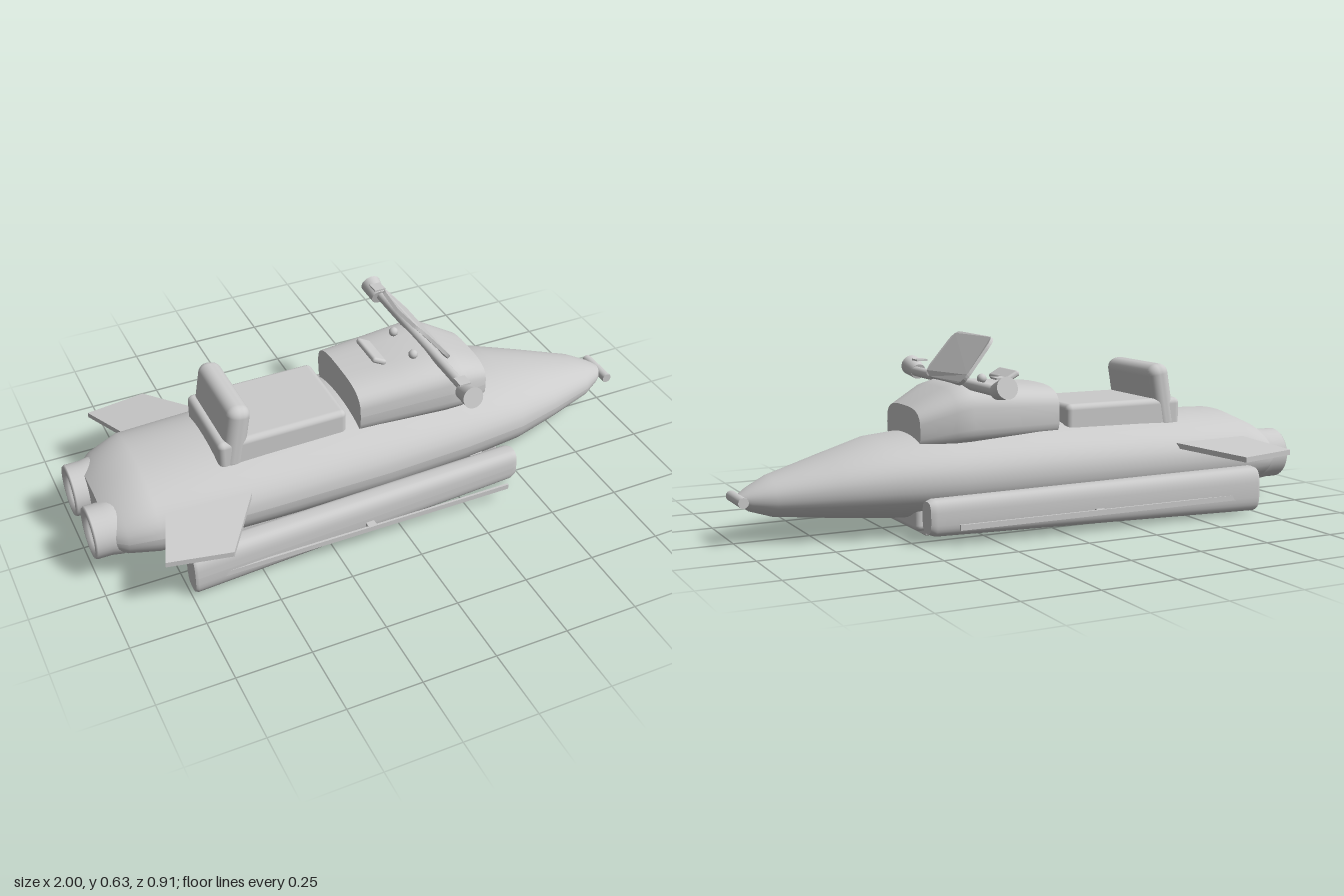
import * as THREE from 'three';
import { RoundedBoxGeometry } from 'three/addons/geometries/RoundedBoxGeometry.js';

const material = new THREE.MeshStandardMaterial({ color: 0xcccccc });
const thin = new THREE.MeshStandardMaterial({ color: 0xcccccc, side: THREE.DoubleSide });

// Skin of superellipse sections [x, yBottom, yTop, zCentre, halfWidth], closed at both ends.
function loft(sections, power = 2, seg = 40) {
  const pos = [], index = [];
  const ring = ([x, y0, y1, cz, rz]) => {
    const start = pos.length / 3;
    for (let j = 0; j <= seg; j++) {
      const a = (j / seg) * Math.PI * 2, c = Math.cos(a), s = Math.sin(a);
      const round = (v) => Math.sign(v) * Math.abs(v) ** (2 / power);
      pos.push(x, (y0 + y1) / 2 + ((y1 - y0) / 2) * round(s), cz + rz * round(c));
    }
    return start;
  };
  const starts = sections.map(ring);
  for (let i = 0; i + 1 < starts.length; i++) {
    for (let j = 0; j < seg; j++) {
      const a = starts[i] + j, b = starts[i + 1] + j;
      index.push(a, b, a + 1, b, b + 1, a + 1);
    }
  }
  [sections[0], sections.at(-1)].forEach((s, end) => {
    const r = ring(s), mid = pos.length / 3;
    pos.push(s[0], (s[1] + s[2]) / 2, s[3]);
    for (let j = 0; j < seg; j++) index.push(mid, r + j + end, r + j + 1 - end);
  });
  const geo = new THREE.BufferGeometry();
  geo.setAttribute('position', new THREE.Float32BufferAttribute(pos, 3));
  geo.setIndex(index);
  geo.computeVertexNormals();
  return geo;
}

export function createModel() {
  const model = new THREE.Group();
  const add = (name, geo, x = 0, y = 0, z = 0, mat = material) => {
    const mesh = new THREE.Mesh(geo, mat);
    mesh.name = name;
    mesh.position.set(x, y, z);
    model.add(mesh);
    return mesh;
  };
  const tubeAcross = (r0, r1, len) => new THREE.CylinderGeometry(r0, r1, len, 28).rotateX(Math.PI / 2);

  // Hull
  add('hull', loft([
    [-0.95, 0.075, 0.24, 0, 0.19], [-0.9, 0.055, 0.275, 0, 0.235], [-0.8, 0.03, 0.32, 0, 0.262],
    [-0.4, 0.025, 0.332, 0, 0.272], [0, 0.025, 0.338, 0, 0.276], [0.3, 0.03, 0.325, 0, 0.258],
    [0.53, 0.045, 0.305, 0, 0.232], [0.7, 0.06, 0.258, 0, 0.172], [0.88, 0.078, 0.208, 0, 0.1],
    [0.95, 0.1, 0.175, 0, 0.055], [0.98, 0.122, 0.155, 0, 0.03],
  ], 2.15, 48));
  add('noseBar', tubeAcross(0.017, 0.017, 0.14), 0.983, 0.14, 0);

  // Seat
  add('seatCushion', new RoundedBoxGeometry(0.45, 0.13, 0.315, 3, 0.02), -0.335, 0.325, 0);
  add('backrest', new RoundedBoxGeometry(0.08, 0.24, 0.32, 4, 0.035), -0.494, 0.39, 0).rotation.z = -0.17;

  // Cowl with its handle and screen bolts
  add('cowl', loft([
    [-0.07, 0.27, 0.455, 0, 0.175], [0.1, 0.265, 0.468, 0, 0.185], [0.25, 0.26, 0.48, 0, 0.194],
    [0.31, 0.26, 0.463, 0, 0.19], [0.42, 0.255, 0.405, 0, 0.142],
  ], 3.2));
  add('dashHandle', new RoundedBoxGeometry(0.055, 0.02, 0.14, 3, 0.009), 0.05, 0.485, 0).rotation.z = -0.5;
  add('handleStem', new THREE.CylinderGeometry(0.01, 0.01, 0.04, 12), 0.06, 0.467, 0);

  // Windscreen: rounded panel bowed about its upright axis, leaning back
  const w = 0.155, h = 0.095, r = 0.045, panel = new THREE.Shape();
  panel.moveTo(-w + r, -h).lineTo(w - r, -h).quadraticCurveTo(w, -h, w, -h + r)
    .lineTo(w - 0.006, h - r).quadraticCurveTo(w - 0.01, h, w - r, h)
    .lineTo(0, h + 0.004).lineTo(-w + r, h)
    .quadraticCurveTo(-w + 0.01, h, -w + 0.006, h - r).lineTo(-w, -h + r).quadraticCurveTo(-w, -h, -w + r, -h);
  const screen = new THREE.ExtrudeGeometry(panel, { depth: 0.012, bevelEnabled: false, curveSegments: 8 });
  screen.translate(0, 0, -0.006).rotateY(Math.PI / 2);
  const p = screen.attributes.position;
  for (let i = 0; i < p.count; i++) p.setX(i, p.getX(i) + 0.6 * p.getZ(i) ** 2);
  screen.computeVertexNormals();
  add('windscreen', screen, 0.207, 0.545, 0, thin).rotation.z = 0.68;

  // Handlebar
  add('handlebar', tubeAcross(0.017, 0.017, 0.66), 0.24, 0.475, 0);

  // Belly tray and lift panels
  add('bellyTray', new RoundedBoxGeometry(1.14, 0.09, 0.38, 3, 0.02), -0.11, 0.063, 0);
  for (const x of [-0.49, -0.105, 0.28]) {
    add('bellyPanel', new RoundedBoxGeometry(0.28, 0.022, 0.35, 2, 0.005), x, 0.011, 0);
  }

  // Fin outline in plan, x by distance from the centre line
  const fin = new THREE.Shape([[-0.84, 0.42], [-0.77, 0.22], [-0.47, 0.22], [-0.63, 0.457]]
    .map(([x, z]) => new THREE.Vector2(x, z)));

  for (const s of [1, -1]) {
    const side = s > 0 ? 'right' : 'left';

    add(side + 'Grip', tubeAcross(0.036, 0.027, 0.072), 0.23, 0.482, s * 0.35)
      .rotation.set(s * -0.25, s > 0 ? 0 : Math.PI, 0);
    add(side + 'Lever', new THREE.BoxGeometry(0.04, 0.006, 0.045), 0.225, 0.515, s * 0.317);
    add(side + 'ScreenBolt', new THREE.SphereGeometry(0.016, 16, 12), 0.17, 0.486, s * 0.075);

    // Outrigger pod, splayed towards the rear
    add(side + 'Pod', loft([
      [-0.74, 0.012, 0.158, s * 0.344, 0.042], [-0.73, 0.008, 0.163, s * 0.343, 0.047],
      [0.44, 0.024, 0.142, s * 0.282, 0.041], [0.46, 0.032, 0.135, s * 0.281, 0.034],
    ], 3, 32));
    add(side + 'PodRail', new THREE.BoxGeometry(1.06, 0.018, 0.008), -0.14, 0.065, s * 0.38);
    for (const x of [-0.6, -0.12, 0.34]) {
      const gap = 0.345 - 0.052 * (x + 0.74);
      add(side + 'PodStrut', new THREE.BoxGeometry(0.05, 0.04, gap - 0.15), x, 0.1, s * (gap + 0.15) / 2);
      if (x < 0.3) {
        add(side + 'RailBracket', new THREE.BoxGeometry(0.03, 0.014, 0.385 - gap), x, 0.065, s * (gap + 0.38) / 2);
      }
    }

    // Fin drooping towards its tip
    const plate = new THREE.ExtrudeGeometry(fin, { depth: 0.018, bevelEnabled: false });
    const v = plate.attributes.position;
    for (let i = 0; i < v.count; i++) {
      const z = v.getY(i);
      v.setXYZ(i, v.getX(i), 0.225 + v.getZ(i) - 0.14 * (z - 0.27), s * z);
    }
    plate.computeVertexNormals();
    if (s > 0) plate.attributes.position.needsUpdate = true;
    add(side + 'Fin', plate, 0, 0, 0, thin);

    // Jet nozzle with a recessed stepped centre
    const profile = [[0, 0.02], [0.03, 0.02], [0.032, 0.035], [0.055, 0.035], [0.058, 0.012], [0.07, 0.008],
      [0.072, 0], [0.084, 0], [0.088, 0.006], [0.088, 0.055], [0.094, 0.09], [0.09, 0.16]]
      .map(([a, b]) => new THREE.Vector2(a, b));
    add(side + 'Nozzle', new THREE.LatheGeometry(profile, 36).rotateZ(-Math.PI / 2), -1, 0.157, s * 0.115, thin);
  }
  return model;
}
